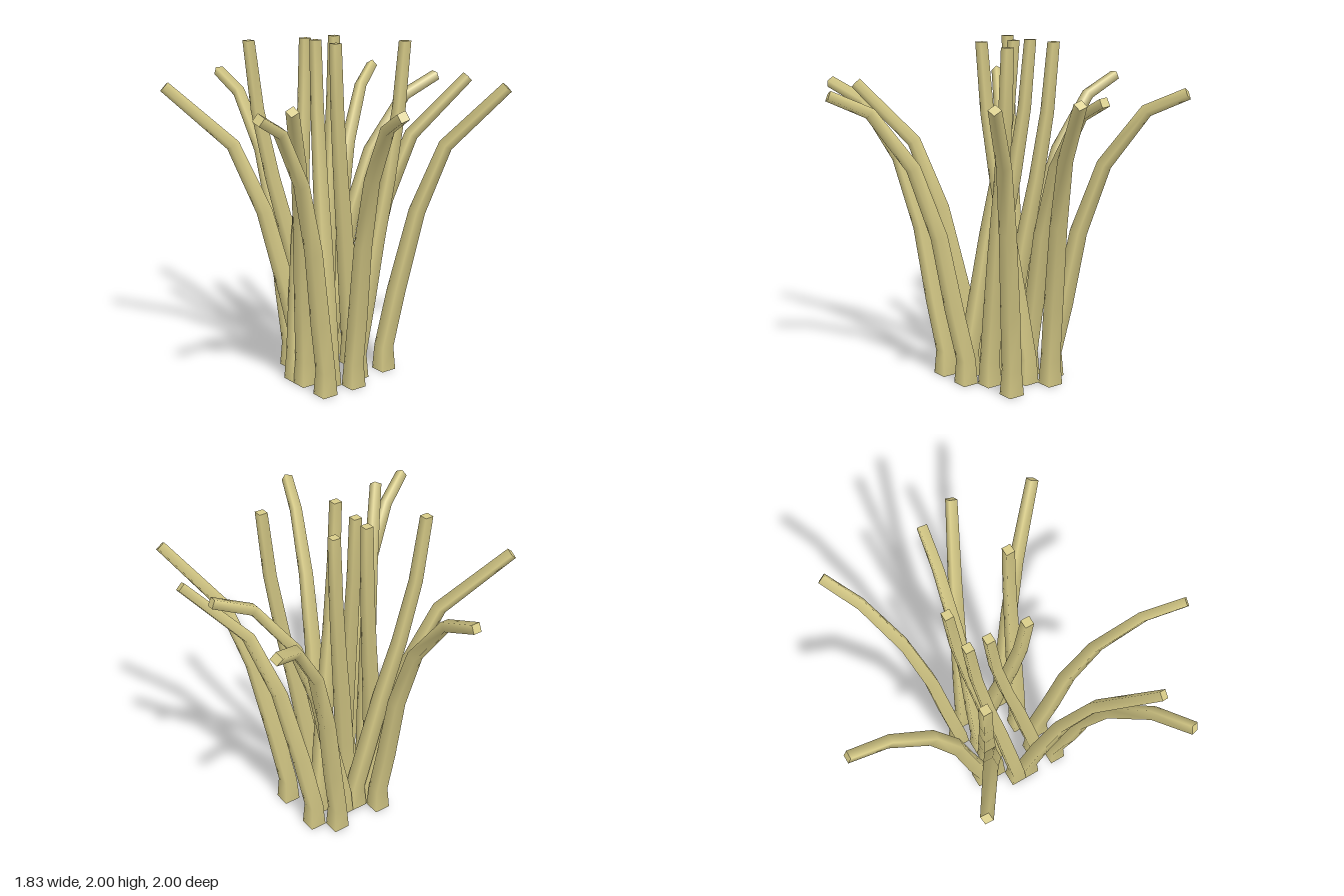
import * as THREE from 'three';

// Growth profiles: [share of the sideways travel, height, width]
const UPRIGHT = [[0, 0, 0.1], [0, 0.15, 0.082], [0.2, 0.48, 0.08], [0.42, 0.85, 0.072], [0.66, 1.2, 0.063], [0.88, 1.6, 0.056], [1, 2, 0.05]];
const DROOPING = [[0, 0, 0.1], [0, 0.15, 0.082], [0.09, 0.46, 0.08], [0.2, 0.9, 0.072], [0.39, 1.31, 0.062], [0.7, 1.63, 0.054], [1, 1.735, 0.05]];
const LEANING = [[0, 0, 0.1], [0, 0.15, 0.082], [0.1, 0.5, 0.08], [0.27, 1.0, 0.07], [0.5, 1.4, 0.06], [1, 1.745, 0.05]];

// Each stalk: base x, base z, tip x, tip z
const STALKS = [
  ['uprightStalk', UPRIGHT, [
    [-0.022, -0.125, -0.35, -0.3], [-0.23, -0.03, -0.02, -0.21], [-0.022, -0.03, 0.19, -0.21],
    [0.08, 0.165, 0.35, 0.245], [-0.125, 0.165, -0.03, -0.095], [0.185, -0.03, -0.05, 0.12]]],
  ['droopingStalk', DROOPING, [
    [-0.125, -0.225, -0.13, -0.99], [0.185, -0.225, 0.83, -0.64], [0.08, -0.125, 0.83, -0.02],
    [-0.022, 0.265, -0.285, 0.98], [-0.23, 0.265, -0.9, 0.62]]],
  ['leaningStalk', LEANING, [
    [-0.125, -0.125, -0.77, -0.54], [0.29, -0.125, 0.89, 0.2],
    [0.29, 0.165, 0.77, 0.65], [-0.23, 0.065, -0.67, 0.58]]],
];

// Square tapering tube through the profile, with smooth sides and flat ends
function stalkGeometry(profile, [bx, bz, tx, tz]) {
  const centres = profile.map(([t, y]) => new THREE.Vector3(bx + (tx - bx) * t, y, bz + (tz - bz) * t));
  const up = new THREE.Vector3(0, 1, 0);
  const last = centres.length - 1;
  const corners = [[-1, -1], [-1, 1], [1, 1], [1, -1]];
  const positions = [], normals = [], index = [];

  const rings = centres.map((c, i) => {
    const before = c.clone().sub(centres[Math.max(i - 1, 0)]).normalize();
    const after = centres[Math.min(i + 1, last)].clone().sub(c).normalize();
    const dir = before.add(after).normalize();
    if (i === 0 || (i === last && profile === UPRIGHT)) dir.copy(up);
    const turn = new THREE.Quaternion().setFromUnitVectors(up, dir);
    const h = profile[i][2] / 2;
    return corners.map(([x, z]) => {
      const out = new THREE.Vector3(x, 0, z).applyQuaternion(turn);
      return { p: out.clone().multiplyScalar(h).add(c), n: out.normalize(), dir };
    });
  });
  const push = (p, n) => { positions.push(...p.toArray()); normals.push(...n.toArray()); };

  rings.forEach((ring) => ring.forEach((v) => push(v.p, v.n)));
  for (let i = 0; i < last; i++) {
    for (let k = 0; k < 4; k++) {
      const a = i * 4 + k, b = i * 4 + (k + 1) % 4;
      index.push(a, b, b + 4, a, b + 4, a + 4);
    }
  }
  // End caps
  let s = positions.length / 3;
  rings[0].forEach((v) => push(v.p, v.dir.clone().negate()));
  index.push(s, s + 2, s + 1, s, s + 3, s + 2);
  s += 4;
  rings[last].forEach((v) => push(v.p, v.dir));
  index.push(s, s + 1, s + 2, s, s + 2, s + 3);

  const geometry = new THREE.BufferGeometry();
  geometry.setAttribute('position', new THREE.Float32BufferAttribute(positions, 3));
  geometry.setAttribute('normal', new THREE.Float32BufferAttribute(normals, 3));
  geometry.setIndex(index);
  return geometry;
}

export function createModel() {
  const group = new THREE.Group();
  group.name = 'stalkCluster';
  const material = new THREE.MeshStandardMaterial({ color: 0xd8cc88 });
  for (const [name, profile, list] of STALKS) {
    list.forEach((ends, i) => {
      const mesh = new THREE.Mesh(stalkGeometry(profile, ends), material);
      mesh.name = `${name}${i + 1}`;
      group.add(mesh);
    });
  }
  return group;
}
